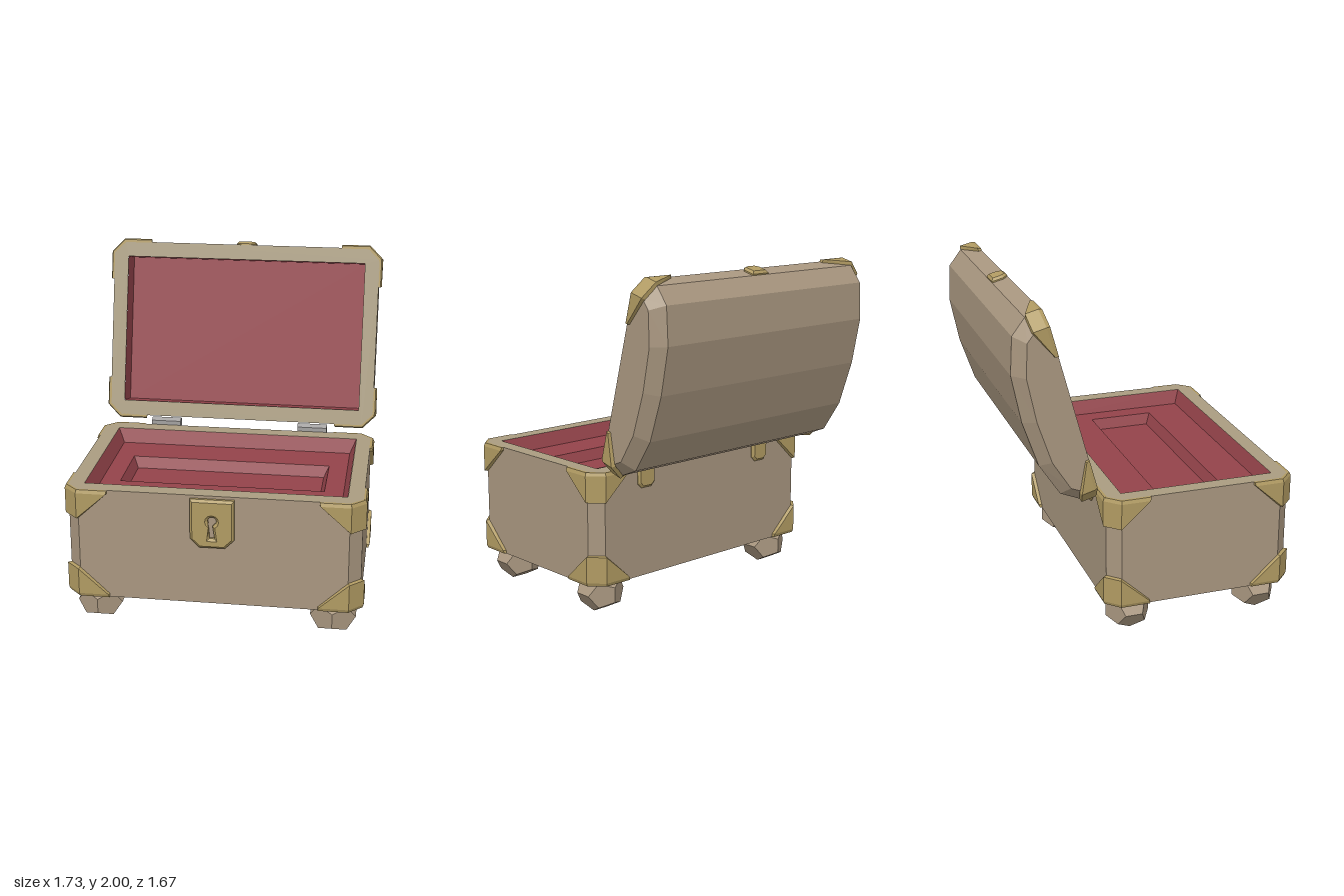
import * as THREE from 'three';
import { ConvexGeometry } from 'three/addons/geometries/ConvexGeometry.js';

const mat = (name, color, side = THREE.FrontSide) => {
  const m = new THREE.MeshStandardMaterial({ color, side });
  m.name = name;
  return m;
};
const wood = mat('wood', 0xa8967f);
const rimWood = mat('rimWood', 0xa99c80, THREE.DoubleSide);
const brass = mat('brass', 0xb09a62);
const lining = mat('lining', 0x93434a, THREE.DoubleSide);
const steel = mat('steel', 0xa3a1a0);

// half width, half depth and corner cut shared by body and lid
const W = 0.845, D = 0.555, C = 0.07;
const IN_X = 0.755, IN_Z = 0.462;

function add(parent, name, geometry, material, x = 0, y = 0, z = 0) {
  const mesh = new THREE.Mesh(geometry, material);
  mesh.name = name;
  mesh.position.set(x, y, z);
  parent.add(mesh);
  return mesh;
}

const polygon = (pts) => new THREE.Shape(pts.map(([x, y]) => new THREE.Vector2(x, y)));

// flat-faced geometry from polygons given as corner lists
function facets(faces) {
  const pos = [];
  for (const f of faces)
    for (let i = 1; i < f.length - 1; i++) pos.push(...f[0], ...f[i], ...f[i + 1]);
  const g = new THREE.BufferGeometry();
  g.setAttribute('position', new THREE.Float32BufferAttribute(pos, 3));
  g.computeVertexNormals();
  return g;
}

// rectangle with cut corners, optionally with the inner opening
function outline(open) {
  const s = polygon([[W, C - D], [W, D - C], [W - C, D], [C - W, D],
    [-W, D - C], [-W, C - D], [C - W, -D], [W - C, -D]]);
  if (open) {
    s.holes.push(polygon([[-IN_X, -IN_Z], [-IN_X, IN_Z], [IN_X, IN_Z], [IN_X, -IN_Z]]));
  }
  return s;
}

function slab(shape, depth) {
  return new THREE.ExtrudeGeometry(shape, { depth, bevelEnabled: false }).rotateX(-Math.PI / 2);
}

// stepped tray from nested rectangles [half x, half z, y]
function tray(levels) {
  const rings = levels.map(([x, z, y]) => [[-x, y, -z], [-x, y, z], [x, y, z], [x, y, -z]]);
  const faces = [rings[rings.length - 1]];
  for (let i = 0; i < rings.length - 1; i++)
    for (let k = 0; k < 4; k++) {
      const n = (k + 1) % 4;
      faces.push([rings[i][k], rings[i][n], rings[i + 1][n], rings[i + 1][k]]);
    }
  return facets(faces);
}

// brass corner: two pointed plates and a strip over the cut corner
function cornerBracket(parent, name, sx, sz, y0, dir, h) {
  const group = new THREE.Group();
  group.name = name;
  parent.add(group);
  const hull = (part, pts) => add(group, part, new ConvexGeometry(
    pts.map(([x, y, z]) => new THREE.Vector3(sx * x, y0 + dir * y, sz * z))), brass);
  const T = 0.02, M = 0.008, B = 0.02;
  const plate = (edge, face, put) => [
    [edge, 0, -0.004], [edge - 0.17, 0, -0.004], [edge - 0.17, B, -0.004], [edge, h, -0.004],
    [edge + M / 2, 0, T * 0.6], [edge - 0.17, 0, T * 0.6], [edge - 0.165, B, T],
    [edge + M, B, T], [edge + M, h - 0.005, T],
  ].map(([a, y, t]) => put(a, y, face + t));
  hull('frontPlate', plate(W - C, D, (a, y, b) => [a, y, b]));
  hull('sidePlate', plate(D - C, W, (a, y, b) => [b, y, a]));
  const strip = [];
  for (const [y, t] of [[0, -0.004], [h, -0.004], [0, T * 0.6], [B, T], [h - 0.005, T]]) {
    const m = Math.max(t, 0) * M / T;
    strip.push([W - C + m, y, D + t], [W + t, y, D - C + m]);
  }
  hull('cornerStrip', strip);
}

// bevelled plate with cut lower corners, hanging down from y = 0, facing +z
function hangingPlate(halfW, height, cut, thick, keyhole) {
  const b = 0.014, w = halfW - b, low = b - height;
  const s = polygon([[-w, -b], [-w, low + cut], [cut - w, low], [w - cut, low], [w, low + cut], [w, -b]]);
  if (keyhole) {
    const k = new THREE.Path();
    k.moveTo(-0.03, -0.25);
    k.lineTo(-0.018, -0.16);
    k.absarc(0, -0.13, 0.04, Math.PI * 1.35, Math.PI * 1.65, true);
    k.lineTo(0.03, -0.25);
    k.closePath();
    s.holes.push(k);
  }
  return new THREE.ExtrudeGeometry(s, {
    depth: thick - b, bevelEnabled: true, bevelSegments: 1,
    bevelSize: b, bevelThickness: b, curveSegments: 5,
  });
}

// barrel-topped lid shell with cut ends, open underneath
function lidShell() {
  const full = [[0, -D], [0.1, -D], [0.195, -0.481], [0.262, -0.276], [0.28, 0],
    [0.262, 0.276], [0.195, 0.481], [0.1, D], [0, D]];
  const inset = [[0, C - D], [0.08, C - D], [0.14, -0.44], [0.197, -0.255], [0.212, 0],
    [0.197, 0.255], [0.14, 0.44], [0.08, D - C], [0, D - C]];
  const rows = [[-W, inset], [C - W, full], [W - C, full], [W, inset]]
    .map(([x, p]) => p.map(([y, z]) => [x, y, z]));
  const faces = [[...rows[0]].reverse(), rows[3]];
  for (let i = 0; i < 3; i++)
    for (let j = 0; j < full.length - 1; j++)
      faces.push([rows[i][j], rows[i][j + 1], rows[i + 1][j + 1], rows[i + 1][j]]);
  return facets(faces);
}

export function createModel() {
  const chest = new THREE.Group();
  chest.name = 'chest';

  // body
  const body = new THREE.Group();
  body.name = 'body';
  body.position.z = 0.245;
  chest.add(body);
  add(body, 'lowerBody', slab(outline(false), 0.4), wood, 0, 0.2, 0);
  add(body, 'upperBody', slab(outline(true), 0.27), [rimWood, wood], 0, 0.6, 0);
  add(body, 'bodyLining', tray([[IN_X - 0.001, IN_Z - 0.001, 0.869], [0.717, 0.427, 0.785],
    [0.605, 0.2, 0.785], [0.575, 0.17, 0.72]]), lining);

  // lock with keyhole
  add(body, 'lockPlate', hangingPlate(0.127, 0.295, 0.045, 0.03, true), brass, 0, 0.853, D);

  // lid, swung open
  const lid = new THREE.Group();
  lid.name = 'lid';
  lid.position.set(0, 1.444, -0.512);
  lid.rotation.x = -THREE.MathUtils.degToRad(105);
  chest.add(lid);
  add(lid, 'lidShell', lidShell(), wood);
  add(lid, 'lidRim', new THREE.ShapeGeometry(outline(true)).rotateX(Math.PI / 2), rimWood);
  add(lid, 'lidLining', tray([[IN_X, IN_Z, 0.001], [IN_X, IN_Z, 0.18]]), lining);
  add(lid, 'lidClasp', hangingPlate(0.062, 0.1, 0.02, 0.022, false), brass, 0, 0.1, D);

  for (const sx of [-1, 1]) {
    const side = sx > 0 ? 'left' : 'right';
    for (const sz of [-1, 1]) {
      const corner = side + (sz > 0 ? 'Front' : 'Back');
      cornerBracket(body, corner + 'LowerBracket', sx, sz, 0.2, 1, 0.18);
      cornerBracket(body, corner + 'UpperBracket', sx, sz, 0.87, -1, 0.18);
      cornerBracket(lid, corner + 'LidBracket', sx, sz, 0, 1, 0.1);
      // feet
      const foot = add(body, corner + 'Foot', new THREE.DodecahedronGeometry(0.142), wood,
        sx * 0.688, 0.117, sz * 0.4);
      foot.scale.y = 0.88;
    }
    // hinges
    const barrel = new THREE.CylinderGeometry(0.032, 0.032, 0.185, 6).toNonIndexed();
    barrel.computeVertexNormals();
    barrel.rotateY(Math.PI / 6).rotateZ(Math.PI / 2);
    add(chest, side + 'HingeBarrel', barrel, steel, sx * 0.468, 0.88, -0.34);
    const leaf = add(body, side + 'HingePlate', hangingPlate(0.065, 0.13, 0.02, 0.018, false),
      brass, sx * 0.468, 0.86, -D);
    leaf.rotation.y = Math.PI;
  }
  return chest;
}
